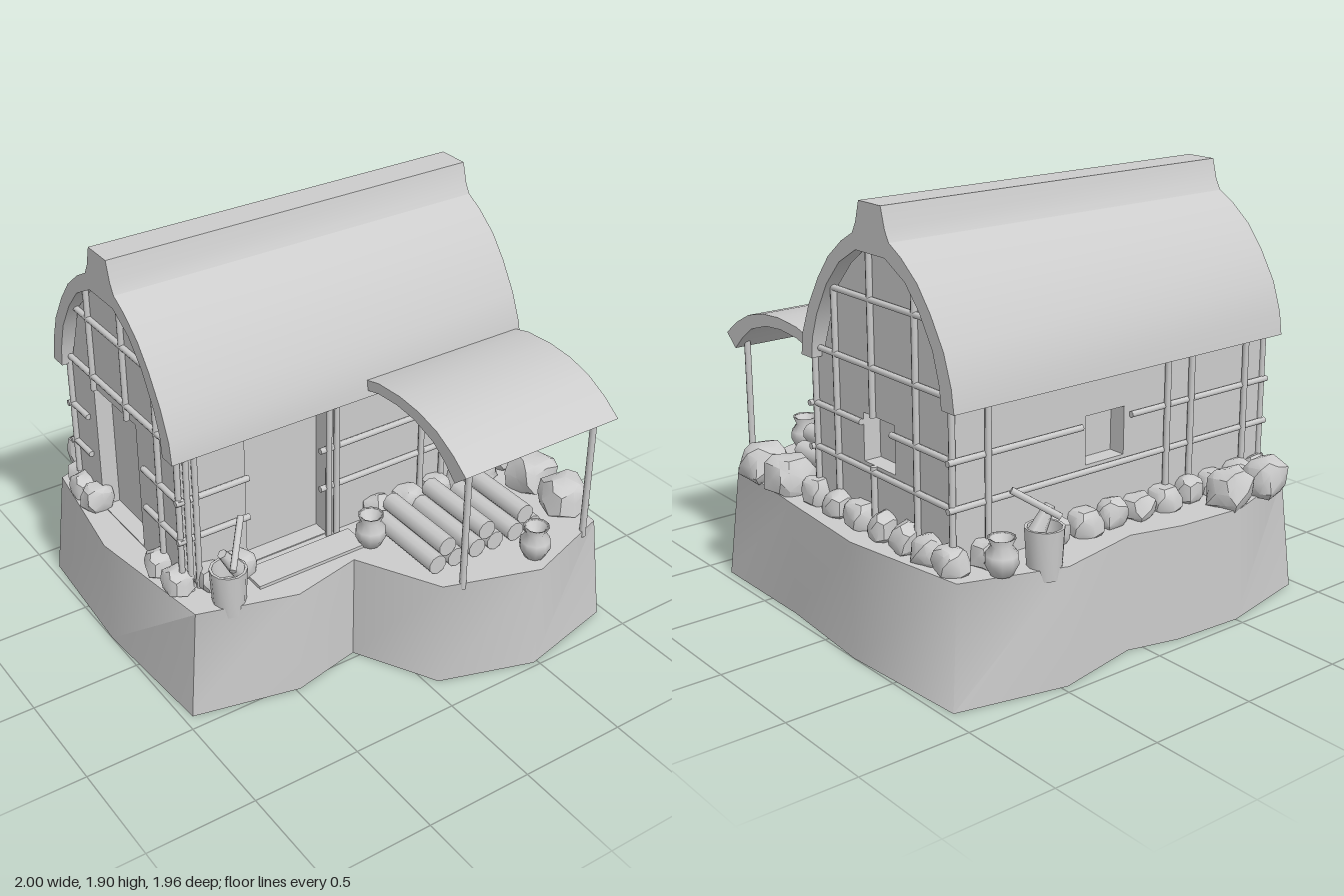
import * as THREE from 'three';
import { toCreasedNormals } from 'three/addons/utils/BufferGeometryUtils.js';

const V = (x, y, z) => new THREE.Vector3(x, y, z);
const V2 = (x, y) => new THREE.Vector2(x, y);
const shapeOf = pts => new THREE.Shape(pts.map(p => V2(...p)));
const rect = (a0, a1, b0, b1) => new THREE.Path([V2(a0, b0), V2(a0, b1), V2(a1, b1), V2(a1, b0)]);

export function createModel() {
  const model = new THREE.Group();
  const mat = new THREE.MeshStandardMaterial({ color: 0xcccccc, side: THREE.DoubleSide });
  const add = (name, geo, parent = model) => {
    const mesh = new THREE.Mesh(geo, mat);
    mesh.name = name;
    parent.add(mesh);
    return mesh;
  };
  const group = name => {
    const g = new THREE.Group();
    g.name = name;
    model.add(g);
    return g;
  };
  const box = (name, x0, x1, y0, y1, z0, z1) =>
    add(name, new THREE.BoxGeometry(x1 - x0, y1 - y0, z1 - z0))
      .position.set((x0 + x1) / 2, (y0 + y1) / 2, (z0 + z1) / 2);
  // Extrudes a (z, y) profile along x
  const alongX = (shape, x0, x1, crease = 0.5) => {
    const g = new THREE.ExtrudeGeometry(shape, { depth: x1 - x0, bevelEnabled: false });
    g.rotateY(-Math.PI / 2).translate(x1, 0, 0);
    return toCreasedNormals(g, crease);
  };
  // Round pole between two points
  const pole = (name, a, b, r, parent = model, sides = 8) => {
    const m = add(name, new THREE.CylinderGeometry(r, r, a.distanceTo(b), sides), parent);
    m.position.copy(a).lerp(b, 0.5);
    m.quaternion.setFromUnitVectors(V(0, 1, 0), b.clone().sub(a).normalize());
    return m;
  };

  // Ground block, open below: corners lean inward at the top
  const G = 0.52;
  const outline = [[-0.96, -0.86, 1], [-0.5, -0.96], [-0.17, -0.94], [0.07, -0.88], [0.47, -0.96],
    [0.96, -0.85, 1], [1, -0.22], [0.96, 0.3], [0.96, 0.87, 1], [0.48, 0.98], [0.05, 0.84],
    [-0.15, 0.47], [-0.48, 0.54], [-0.96, 0.43, 1], [-1, -0.23]];
  const top = outline.map(([x, z, c]) => c ? [x * 0.95, z * 0.96] : [x, z]);
  const pos = [], idx = [], n = outline.length;
  outline.forEach(([x, z], i) => {
    pos.push(x, 0, z, top[i][0], G, top[i][1]);
    const a = 2 * i, b = 2 * ((i + 1) % n);
    idx.push(a, a + 1, b, b, a + 1, b + 1);
  });
  const side = new THREE.BufferGeometry();
  side.setAttribute('position', new THREE.Float32BufferAttribute(pos, 3));
  side.setIndex(idx);
  add('groundSides', toCreasedNormals(side, 1.2));
  add('groundTop', new THREE.ShapeGeometry(shapeOf(top.map(([x, z]) => [x, -z])))
    .rotateX(-Math.PI / 2).translate(0, G, 0));

  // House walls: a plain core behind four outer walls with openings
  const X0 = -0.86, X1 = 0.84, Z0 = -0.71, Z1 = 0.24, T = 0.08;
  box('wallCore', X0 + T, X1 - T, G, 1.2, Z0 + T, Z1 - T);
  const gable = hole => {
    const s = shapeOf([[Z1, G], [Z1, 1.18], [0.18, 1.22], [0.07, 1.5], [-0.04, 1.62], [-0.15, 1.7],
      [-0.31, 1.7], [-0.45, 1.64], [-0.59, 1.5], [-0.69, 1.22], [Z0, 1.22], [Z0, G]]);
    s.holes.push(hole);
    return s;
  };
  add('gableWithWindow', alongX(gable(rect(-0.32, -0.1, 0.8, 1.01)), X1 - T, X1));
  add('gableWithDoor', alongX(gable(rect(-0.5, -0.12, G + 0.005, 1.15)), X0, X0 + T));
  const longWall = (name, hole, z) => {
    const s = shapeOf([[X0, G], [X1, G], [X1, 1.2], [X0, 1.2]]);
    s.holes.push(hole);
    add(name, new THREE.ExtrudeGeometry(s, { depth: T, bevelEnabled: false }).translate(0, 0, z));
  };
  longWall('frontWall', rect(-0.55, -0.14, G + 0.005, 1.19), Z1 - T);
  longWall('backWall', rect(-0.04, 0.17, 0.8, 1.01), Z0);
  box('doorStep', -0.6, -0.05, G, 0.535, 0.28, 0.42);

  // Thatched roof: arched shell with a flared ridge cap
  add('roof', alongX(shapeOf([[0.28, 1.18], [0.265, 1.28], [0.21, 1.41], [0.13, 1.54], [0.05, 1.64],
    [-0.05, 1.72], [-0.13, 1.765], [-0.155, 1.81], [-0.18, 1.9], [-0.33, 1.9], [-0.355, 1.81], [-0.38, 1.765],
    [-0.46, 1.72], [-0.56, 1.64], [-0.64, 1.54], [-0.72, 1.41], [-0.765, 1.28], [-0.78, 1.18],
    [-0.7, 1.18], [-0.69, 1.27], [-0.65, 1.4], [-0.57, 1.53], [-0.48, 1.63], [-0.35, 1.7], [-0.15, 1.7],
    [-0.03, 1.63], [0.07, 1.52], [0.15, 1.38], [0.19, 1.27], [0.2, 1.18]]), -0.91, 0.89, 0.45));

  // Porch roof with two posts
  add('porchRoof', alongX(shapeOf([[0.24, 1.25], [0.35, 1.28], [0.5, 1.29], [0.63, 1.28], [0.75, 1.25],
    [0.86, 1.195], [0.95, 1.13], [0.88, 1.07], [0.81, 1.135], [0.73, 1.19], [0.6, 1.23], [0.48, 1.24],
    [0.35, 1.23], [0.24, 1.2]]), 0.05, 0.87));
  for (const x of [0.14, 0.82]) pole('porchPost', V(x, 0.49, 0.86), V(x, 1.11, 0.86), 0.015);

  // Lattice poles on all four walls
  const lattice = group('wallLattice');
  const R = 0.014;
  const barX = (x0, x1, y, z) => pole('rail', V(x0, y, z), V(x1, y, z), R, lattice);
  const barZ = (z0, z1, y, x) => pole('rail', V(x, y, z0), V(x, y, z1), R, lattice);
  const post = (x, z, y0, y1) => pole('stake', V(x, y0, z), V(x, y1, z), R, lattice);
  for (const y of [0.775, 0.97]) {
    barX(-0.89, -0.54, y, Z1 + 0.01);
    barX(-0.18, 0.88, y, Z1 + 0.01);
    barZ(-0.72, -0.56, y, X0 - 0.01);
    barZ(-0.06, 0.26, y, X0 - 0.01);
  }
  barX(-0.89, 0.88, 0.775, Z0 - 0.01);
  barX(-0.89, -0.07, 0.97, Z0 - 0.01);
  barX(0.2, 0.88, 0.97, Z0 - 0.01);
  barZ(-0.72, 0.26, 0.775, X1 + 0.01);
  barZ(-0.72, -0.31, 0.97, X1 + 0.01);
  barZ(-0.1, 0.26, 0.97, X1 + 0.01);
  for (const x of [X0 - 0.01, X1 + 0.01]) {
    barZ(-0.69, 0.2, 1.22, x);
    barZ(-0.59, 0.09, 1.5, x);
    post(x, 0.24, G, 1.2);
    post(x, 0.08, G, 1.5);
    post(x, -0.18, x > 0 ? 1.01 : 1.15, 1.7);
    post(x, -0.48, x > 0 ? G : 1.15, 1.64);
    post(x, -0.71, G, 1.2);
  }
  post(X1 + 0.01, -0.18, G, 0.8);
  for (const x of [-0.84, -0.8, -0.14, -0.1, 0.36, 0.48, 0.74]) post(x, Z1 + 0.02, G, 1.22);
  for (const x of [-0.74, -0.41, -0.27, 0.69]) post(x, Z0 - 0.02, G, 1.24);

  // Boxy boulders, varied by a seeded number
  let seed = 7;
  const rnd = () => (seed = (seed * 16807) % 2147483647) / 2147483647;
  const stones = group('footingStones');
  const stone = (x, z, w, h, d) => {
    const g = new THREE.IcosahedronGeometry(1, 1), p = g.attributes.position, k = rnd() * 6;
    const f = v => Math.sign(v) * Math.pow(Math.abs(v), 0.65);
    for (let i = 0; i < p.count; i++) {
      const [a, b, c] = [p.getX(i), p.getY(i), p.getZ(i)];
      const s = 0.93 + 0.09 * Math.sin(3 * a + 4 * b + 5 * c + k);
      p.setXYZ(i, f(a) * s * w / 2 * (1 - 0.15 * b), f(b) * s * h * 0.6, f(c) * s * d / 2 * (1 - 0.15 * b));
    }
    const m = add('stone', toCreasedNormals(g, 0.6), stones);
    m.position.set(x, G + h * 0.44, z);
    m.rotation.y = rnd() * 0.4 - 0.2;
  };
  const small = (x, z) => stone(x, z, 0.13 + rnd() * 0.03, 0.1 + rnd() * 0.02, 0.13 + rnd() * 0.03);
  for (const z of [0.24, 0.07, -0.1, -0.27, -0.43, -0.57, -0.71]) small(0.86, z);
  for (const z of [-0.64, -0.52, 0.07, 0.22]) small(-0.88, z);
  for (const x of [-0.75, -0.61, 0.12, 0.28, 0.44, 0.6, 0.72]) small(x, 0.27);
  for (const x of [-0.84, -0.7, -0.55, -0.4, -0.25, -0.1, 0.05, 0.2, 0.36, 0.7]) small(x, -0.74);
  for (const z of [0.45, 0.67]) stone(0.87, z, 0.23, 0.16, 0.22);
  for (const x of [-0.73, -0.51]) stone(x, -0.88, 0.22, 0.16, 0.19);

  // Log pile under the porch
  const logs = group('logPile');
  const log = (x, y) => pole('log', V(x, y, 0.34), V(x, y, 0.75), 0.045, logs, 10);
  for (const x of [0.14, 0.355, 0.57]) {
    log(x - 0.05, 0.565);
    log(x + 0.05, 0.565);
    log(x, 0.64);
  }

  // Clay jars
  const jarProfile = [[0, 0], [0.045, 0], [0.07, 0.05], [0.068, 0.085], [0.042, 0.12], [0.058, 0.155],
    [0.045, 0.15], [0.032, 0.12], [0, 0.1]].map(p => V2(...p));
  for (const [x, z] of [[0.52, 0.88], [-0.02, 0.41], [0.72, -0.85]])
    add('jar', new THREE.LatheGeometry(jarProfile, 10)).position.set(x, G, z);

  // Open buckets, each holding a mallet
  const bucketProfile = [[0, 0], [0.07, 0], [0.082, 0.21], [0.07, 0.21], [0.06, 0.12], [0, 0.12]].map(p => V2(...p));
  for (const [x, z, dz] of [[-0.74, 0.4, 0.09], [0.53, -0.88, -0.06]]) {
    const b = group('bucketWithMallet');
    b.position.set(x, 0.47, z);
    add('bucket', toCreasedNormals(new THREE.LatheGeometry(bucketProfile, 12), 0.7), b);
    pole('malletHandle', V(-0.03, 0.26, dz), V(0.12, 0.37, -dz), 0.015, b);
    const head = add('malletHead', new THREE.CylinderGeometry(0.022, 0.04, 0.13, 6), b);
    head.position.set(0.01, 0.24, 0);
    head.rotation.z = 0.6;
  }
  return model;
}
